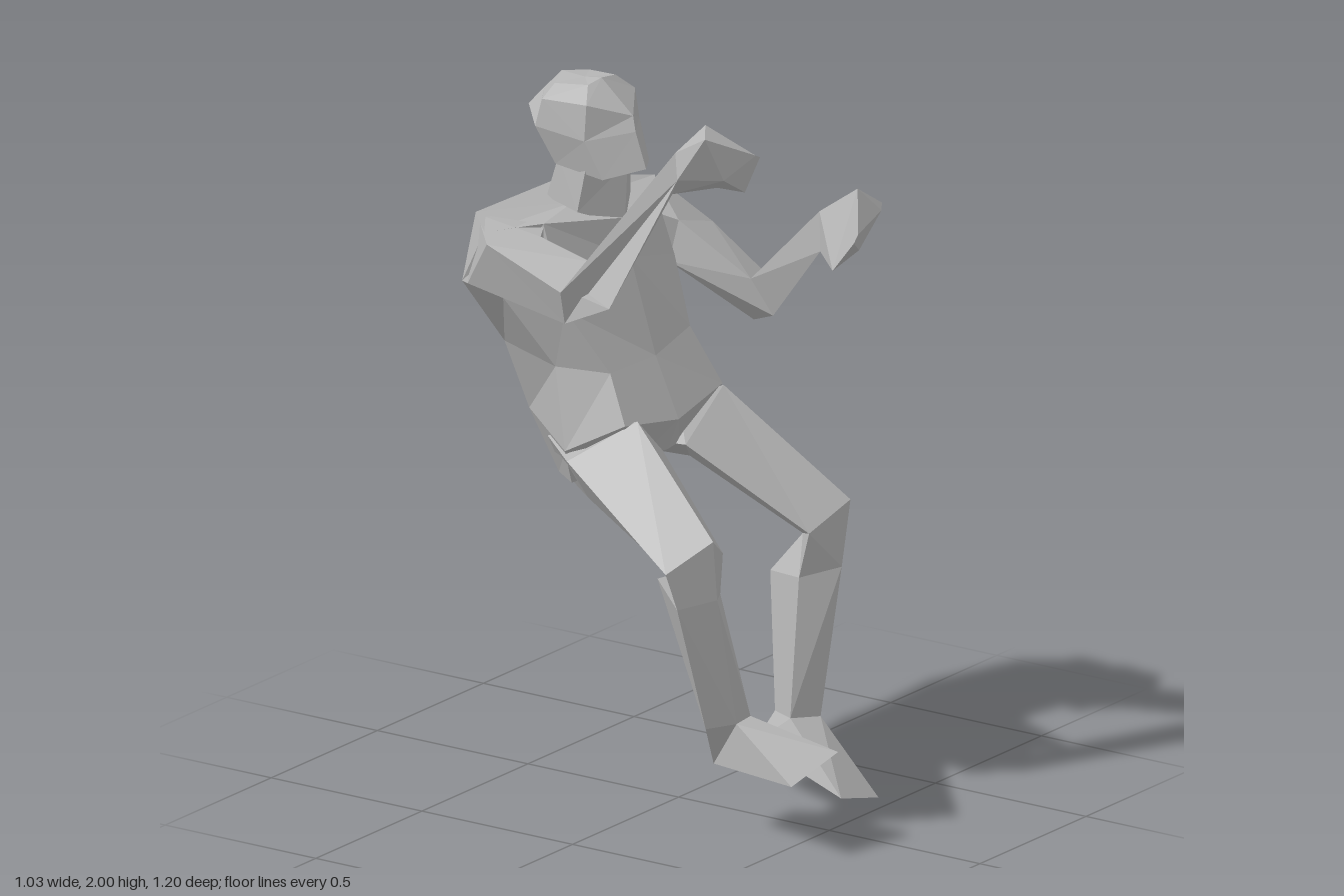
import * as THREE from 'three';

const skin = new THREE.MeshStandardMaterial({ color: 0xb6b6b6 });
skin.name = 'plain grey';
skin.flatShading = true;

// Faceted skin through a list of rings (each ring: the same number of [x, y, z] corners), capped at both ends.
function loft(name, rings) {
  const n = rings[0].length;
  const V = rings.map(r => r.map(p => new THREE.Vector3(...p)));
  const tris = [];
  for (let i = 0; i + 1 < V.length; i++) {
    for (let j = 0; j < n; j++) {
      const k = (j + 1) % n;
      const a = V[i][j], b = V[i][k], c = V[i + 1][k], d = V[i + 1][j];
      // split each quad along its shorter diagonal
      if (a.distanceTo(c) < b.distanceTo(d)) tris.push([a, b, c], [a, c, d]);
      else tris.push([a, b, d], [b, c, d]);
    }
  }
  [V[0], V[V.length - 1]].forEach((ring, end) => {
    const mid = ring.reduce((s, p) => s.add(p), new THREE.Vector3()).divideScalar(n);
    for (let j = 0; j < n; j++) {
      const p = ring[j], q = ring[(j + 1) % n];
      tris.push(end ? [p, q, mid] : [q, p, mid]);
    }
  });
  // turn the faces outward whichever way the rings run
  const volume = tris.reduce((s, [a, b, c]) => s + a.dot(b.clone().cross(c)), 0);
  if (volume < 0) tris.forEach(t => t.reverse());
  const geo = new THREE.BufferGeometry().setFromPoints(tris.flat());
  geo.computeVertexNormals();
  const mesh = new THREE.Mesh(geo, skin);
  mesh.name = name;
  return mesh;
}

export function createModel() {
  const model = new THREE.Group();
  model.name = 'figure';
  const add = (name, ...rings) => model.add(loft(name, rings));

  // Torso, pelvis to shoulders: front, front left, left, back left, back, back right, right, front right
  add('torso',
    [[.02, .98, -.05], [.12, .97, -.08], [.29, .93, -.2], [.14, .9, -.36], [.03, .9, -.345], [-.11, .9, -.32], [-.22, .92, -.2], [-.08, .97, -.08]],
    [[0, 1.08, 0], [.25, 1.11, -.03], [.34, 1.02, -.2], [.22, 1.08, -.4], [.03, 1.12, -.43], [-.15, 1.08, -.39], [-.28, 1.03, -.18], [-.21, 1.11, -.03]],
    [[.02, 1.24, -.09], [.21, 1.27, -.11], [.27, 1.25, -.24], [.27, 1.26, -.42], [.04, 1.32, -.505], [-.21, 1.28, -.43], [-.24, 1.25, -.24], [-.18, 1.24, -.1]],
    [[.03, 1.5, -.18], [.25, 1.45, -.19], [.36, 1.42, -.3], [.41, 1.43, -.465], [.05, 1.55, -.6], [-.36, 1.485, -.465], [-.33, 1.45, -.35], [-.25, 1.42, -.2]],
    [[.03, 1.61, -.2], [.25, 1.58, -.24], [.42, 1.595, -.375], [.14, 1.66, -.42], [.05, 1.67, -.44], [-.31, 1.67, -.455], [-.39, 1.65, -.37], [-.24, 1.65, -.28]]);

  // Neck
  add('neck',
    [[.03, 1.59, -.2], [.17, 1.63, -.28], [.1, 1.64, -.41], [.05, 1.65, -.43], [-.04, 1.65, -.41], [-.08, 1.64, -.28]],
    [[.03, 1.77, -.19], [.145, 1.76, -.26], [.1, 1.775, -.37], [.05, 1.78, -.4], [-.04, 1.775, -.37], [-.07, 1.76, -.26]]);

  // Head, jaw to crown: front, front left, back left, back, back right, front right
  add('head',
    [[.01, 1.77, -.115], [.145, 1.745, -.2], [.15, 1.755, -.37], [.06, 1.765, -.42], [-.055, 1.755, -.37], [-.075, 1.745, -.2]],
    [[.01, 1.87, -.15], [.17, 1.85, -.25], [.18, 1.85, -.4], [.06, 1.865, -.54], [-.08, 1.86, -.42], [-.09, 1.85, -.25]],
    [[.02, 1.91, -.165], [.15, 1.94, -.25], [.165, 1.94, -.39], [.065, 1.92, -.49], [-.075, 1.94, -.4], [-.08, 1.95, -.25]],
    [[.02, 2, -.27], [.1, 1.985, -.28], [.12, 1.975, -.38], [.06, 1.98, -.43], [-.03, 1.975, -.39], [-.03, 1.99, -.28]]);

  // Left arm, hanging from the shoulder and bent forward: outer, underside, inner, top
  const leftElbow = [[.515, 1.31, -.02], [.44, 1.235, -.06], [.36, 1.29, .06], [.34, 1.39, 0]];
  const leftWrist = [[.38, 1.63, .28], [.35, 1.55, .25], [.27, 1.54, .28], [.28, 1.65, .27]];
  add('leftUpperArm',
    [[.42, 1.59, -.375], [.41, 1.43, -.465], [.28, 1.4, -.33], [.27, 1.55, -.29]],
    [[.515, 1.46, -.25], [.45, 1.37, -.3], [.31, 1.4, -.25], [.32, 1.52, -.225]],
    leftElbow);
  add('leftForearm', leftElbow, leftWrist);
  add('leftHand', leftWrist,
    [[.39, 1.67, .4], [.31, 1.53, .34], [.2, 1.52, .37], [.29, 1.735, .39]],
    [[.36, 1.66, .42], [.24, 1.58, .43], [.18, 1.62, .455], [.2, 1.64, .455]]);

  // Right arm, raised across the face: top, back, underside, front
  const rightElbow = [[-.515, 1.575, -.03], [-.48, 1.475, -.04], [-.42, 1.52, .065], [-.36, 1.62, -.04]];
  const rightWrist = [[-.2, 1.92, .13], [-.22, 1.85, .15], [-.2, 1.8, .12], [-.09, 1.87, .06]];
  add('rightUpperArm',
    [[-.31, 1.665, -.45], [-.36, 1.485, -.465], [-.25, 1.42, -.3], [-.22, 1.64, -.29]],
    [[-.45, 1.64, -.32], [-.37, 1.485, -.44], [-.31, 1.49, -.24], [-.31, 1.64, -.24]],
    rightElbow);
  add('rightForearm', rightElbow, rightWrist);
  add('rightHand', rightWrist,
    [[-.16, 1.96, .2], [-.1, 1.83, .22], [-.06, 1.79, .17], [-.03, 1.95, .11]],
    [[.03, 1.87, .235], [.05, 1.86, .235], [0, 1.77, .22], [.04, 1.86, .2]]);

  // Legs: front, outer, back, inner; feet run from the ankle to the sole
  const legs = {
    left: {
      seat: [[.14, 1.08, -.1], [.28, 1.03, -.3], [.15, .91, -.33], [.07, .97, -.2]],
      hip: [[.24, 1.11, -.02], [.345, 1.01, -.18], [.28, .87, -.16], [.09, .975, -.04]],
      knee: [[.37, .81, .31], [.44, .71, .2], [.33, .7, .18], [.26, .73, .25]],
      calf: [[.35, .62, .295], [.41, .6, .19], [.29, .59, .1], [.255, .6, .22]],
      ankle: [[.2, .215, .23], [.3, .2, .26], [.31, .21, .17], [.22, .22, .165]],
      sole: [[.12, .05, .455], [.31, 0, .445], [.28, .11, .12], [.18, .13, .125]]
    },
    right: {
      seat: [[-.13, 1.08, -.1], [-.22, 1.04, -.28], [-.12, .91, -.3], [-.05, .97, -.2]],
      hip: [[-.18, 1.12, -.01], [-.3, 1.01, -.16], [-.2, .88, -.16], [-.02, .99, -.04]],
      knee: [[-.37, .9, .375], [-.43, .8, .26], [-.32, .76, .2], [-.26, .83, .33]],
      calf: [[-.33, .72, .36], [-.39, .69, .27], [-.27, .72, .12], [-.23, .7, .3]],
      ankle: [[-.13, .33, .33], [-.21, .33, .34], [-.27, .32, .28], [-.14, .31, .245]],
      sole: [[-.1, .27, .6], [-.285, .215, .575], [-.19, .195, .25], [-.09, .23, .24]]
    }
  };
  for (const [side, leg] of Object.entries(legs)) {
    add(side + 'Thigh', leg.seat, leg.hip, leg.knee);
    add(side + 'Shin', leg.knee, leg.calf, leg.ankle);
    add(side + 'Foot', leg.ankle, leg.sole);
  }
  return model;
}
